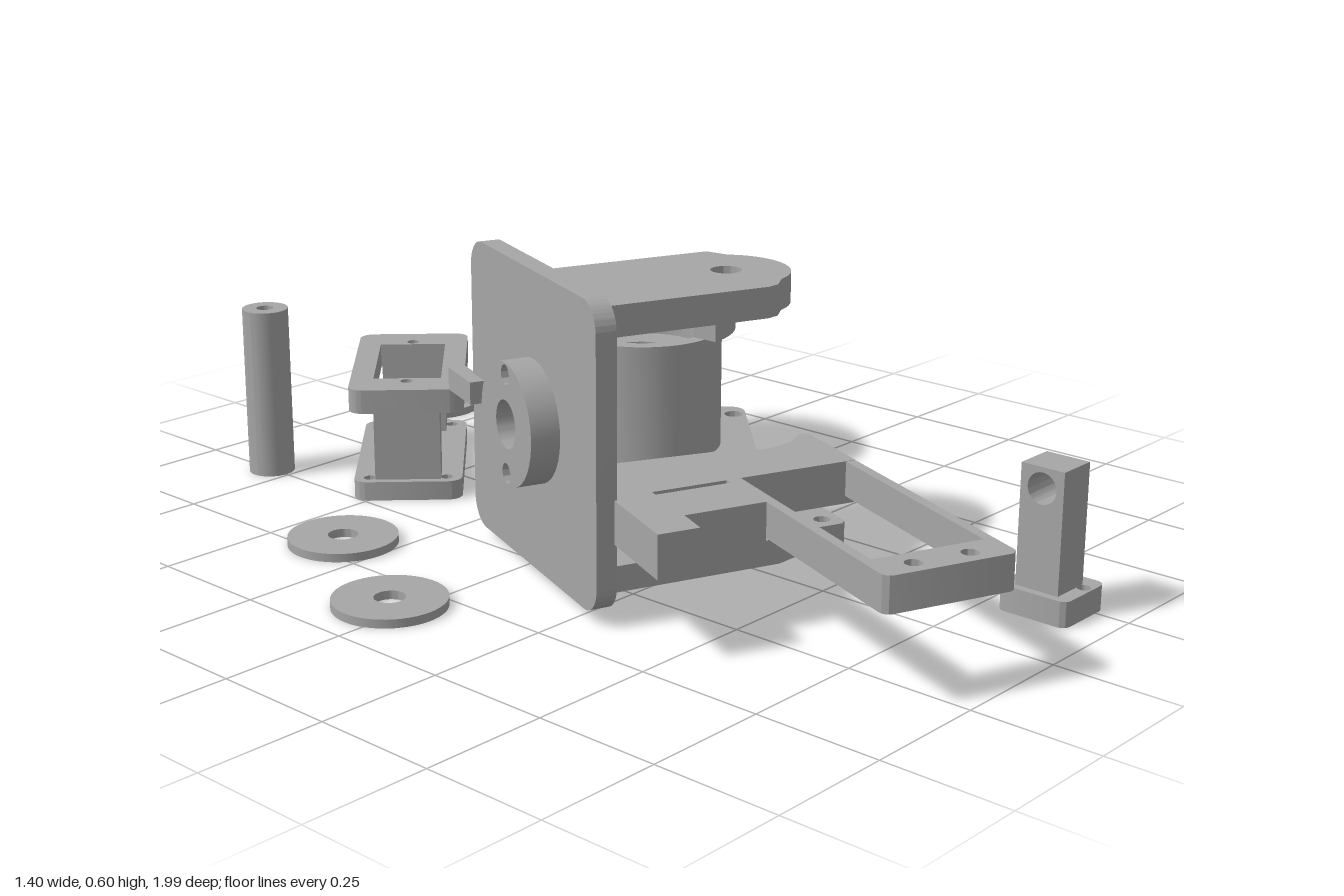
import * as THREE from 'three';
import { toCreasedNormals } from 'three/addons/utils/BufferGeometryUtils.js';

const gray = new THREE.MeshStandardMaterial({ color: 0xa6a6a6 });
gray.name = 'plain gray';

// Outlines
const poly = (pts) => new THREE.Shape(pts.map(([x, y]) => new THREE.Vector2(x, y)));
const disc = (r, x = 0, y = 0) => new THREE.Shape().absarc(x, y, r, 0, Math.PI * 2);
function rounded(x0, y0, x1, y1, r) {
  const s = new THREE.Shape();
  s.absarc(x1 - r, y1 - r, r, 0, Math.PI / 2);
  s.absarc(x0 + r, y1 - r, r, Math.PI / 2, Math.PI);
  s.absarc(x0 + r, y0 + r, r, Math.PI, Math.PI * 1.5);
  s.absarc(x1 - r, y0 + r, r, Math.PI * 1.5, Math.PI * 2);
  s.closePath();
  return s;
}
const rect = (x0, y0, x1, y1) => poly([[x0, y0], [x1, y0], [x1, y1], [x0, y1]]);

function extrude(shape, holes, depth) {
  shape.holes = holes;
  return new THREE.ExtrudeGeometry(shape, { depth, bevelEnabled: false, curveSegments: 24 });
}
function add(parent, name, geometry) {
  const mesh = new THREE.Mesh(toCreasedNormals(geometry, 0.6), gray);
  mesh.name = name;
  parent.add(mesh);
  return mesh;
}
// Horizontal slab: outline in (x, z), from y0 to y1
function slab(parent, name, shape, y0, y1, holes = []) {
  return add(parent, name, extrude(shape, holes, y1 - y0).rotateX(Math.PI / 2).translate(0, y1, 0));
}
// Upright slab: outline in (z, y), from x0 to x1
function wall(parent, name, shape, x0, x1, holes = []) {
  return add(parent, name, extrude(shape, holes, x1 - x0).rotateY(-Math.PI / 2).translate(x1, 0, 0));
}
function group(parent, name, x, z, turn = 0) {
  const g = new THREE.Group();
  g.name = name;
  g.position.set(x, 0, z);
  g.rotation.y = turn;
  parent.add(g);
  return g;
}

// Flat washers and the hollow pin
function buildLooseParts(root) {
  for (const [x, z] of [[0.304, -0.892], [0.585, -0.683], [-0.437, -0.352], [-0.593, -0.04]])
    slab(group(root, 'washer', x, z), 'washerDisc', disc(0.109), 0, 0.017, [disc(0.03)]);
  slab(group(root, 'pin', -0.249, -0.804), 'pinTube', disc(0.048), 0, 0.36, [disc(0.018)]);
}

// Upright peg with a cross hole on a small foot
function buildPeg(root) {
  const g = group(root, 'peg', 0.213, 0.858);
  slab(g, 'pegFoot', rounded(-0.067, -0.073, 0.067, 0.073, 0.018), 0, 0.05,
    [disc(0.013, 0.02, -0.056), disc(0.013, 0.02, 0.056)]);
  wall(g, 'pegColumn', rect(-0.045, 0.05, 0.045, 0.285), -0.05, 0.033, [disc(0.03, 0, 0.245)]);
}

// Open box: base plate, end posts and top frame
function buildHolder(root) {
  const g = group(root, 'holder', -0.035, -0.59, Math.PI / 4);
  const corners = [-1, 1].flatMap((i) => [-1, 1].map((j) => disc(0.013, i * 0.18, j * 0.08)));
  slab(g, 'holderBase', rounded(-0.21, -0.112, 0.21, 0.112, 0.03), 0, 0.04, corners);
  slab(g, 'holderFrame', rounded(-0.215, -0.118, 0.215, 0.118, 0.03), 0.19, 0.24,
    [rect(-0.13, -0.07, 0.13, 0.07), disc(0.013, -0.15, 0), disc(0.013, 0.15, 0)]);
  for (const s of [-1, 1])
    slab(g, 'holderPost', rect(s * 0.162 - 0.032, -0.068, s * 0.162 + 0.032, 0.068), 0.04, 0.19,
      [disc(0.013, s * 0.15, 0)]);
}

// Round socket with split collar on a square foot
function buildSocket(root) {
  const g = group(root, 'socket', 0.334, -0.257);
  const screws = [[0.021, -0.286], [0.286, 0.021], [-0.021, 0.286], [-0.286, -0.021]];
  const foot = slab(g, 'socketFoot', rounded(-0.244, -0.244, 0.244, 0.244, 0.035), 0, 0.045,
    [disc(0.14), ...screws.map(([x, z]) => {
      // mirrored pattern turned into the foot's own axes
      const c = Math.SQRT1_2;
      return disc(0.021, c * (x + z), c * (z - x));
    })]);
  foot.rotation.y = -Math.PI / 4;
  slab(g, 'socketTube', disc(0.171), 0.045, 0.305, [disc(0.14)]);
  slab(g, 'socketFloor', disc(0.141), 0.22, 0.25, [disc(0.069)]);
  const from = (171 / 180) * Math.PI, to = (448 / 180) * Math.PI;
  const collar = new THREE.Shape();
  collar.absarc(0, 0, 0.2, from, to, false);
  collar.absarc(0, 0, 0.143, to, from, true);
  collar.closePath();
  slab(g, 'socketCollar', collar, 0.305, 0.385);
}

// Wall bracket with arm, base and the long frame
function buildBracket(root) {
  const g = group(root, 'bracket', 0.061, 0.204, (-22 / 180) * Math.PI);
  const bores = () => [disc(0.046, 0.015, 0.315), disc(0.019, 0.015, 0.41), disc(0.019, 0.015, 0.22)];

  // Back plate, round boss and inner panel share three bores
  wall(g, 'backPlate', rounded(-0.288, 0.022, 0.288, 0.6, 0.055), -0.405, -0.365, bores());
  wall(g, 'backBoss', disc(0.118, 0.015, 0.315), -0.462, -0.405, bores());
  wall(g, 'innerPanel', rect(-0.15, 0.015, 0.15, 0.555), -0.365, -0.315, bores());
  wall(g, 'edgeTab', rect(-0.345, 0.28, -0.23, 0.325), -0.435, -0.4);
  wall(g, 'ear', rect(-0.21, 0.42, -0.15, 0.5), -0.365, -0.277, [disc(0.023, -0.183, 0.46)]);

  // Upper arm with a rounded nose
  const arm = new THREE.Shape();
  arm.moveTo(-0.32, -0.15);
  arm.lineTo(0.035, -0.15);
  arm.lineTo(0.06, -0.108);
  arm.absarc(0, 0, 0.123, -1.06, 1.06, false);
  arm.lineTo(0.035, 0.14);
  arm.lineTo(0.01, 0.15);
  arm.lineTo(-0.32, 0.15);
  arm.closePath();
  slab(g, 'upperArm', arm, 0.495, 0.555, [disc(0.03)]);

  // Base plate narrowing to a screw tab
  slab(g, 'basePlate', poly([[-0.365, -0.14], [0.02, -0.14], [0.1, -0.05], [0.2, -0.05],
    [0.212, -0.038], [0.212, 0.108], [0.2, 0.12], [0.1, 0.12], [0.05, 0.14], [-0.365, 0.14]]),
  0, 0.052, [disc(0.03), disc(0.017, 0.176, 0.083)]);

  // Side plate with a tooth, a slot and a curved clearance
  const plate = new THREE.Shape();
  plate.moveTo(-0.315, 0.1);
  plate.lineTo(-0.1, 0.12);
  plate.absarc(0, 0, 0.148, 2.2, 0.68, true);
  plate.lineTo(0.13, 0.1);
  plate.lineTo(0.13, 0.275);
  plate.lineTo(-0.112, 0.275);
  plate.lineTo(-0.13, 0.407);
  plate.lineTo(-0.292, 0.407);
  plate.lineTo(-0.295, 0.473);
  plate.lineTo(-0.376, 0.473);
  plate.lineTo(-0.365, 0.16);
  plate.lineTo(-0.315, 0.16);
  plate.closePath();
  slab(g, 'sidePlate', plate, 0.157, 0.24, [rect(-0.29, 0.275, -0.14, 0.29)]);

  // Long rectangular frame
  slab(g, 'longFrame', rounded(-0.13, 0.26, 0.13, 0.802, 0.018), 0.172, 0.2395,
    [rect(-0.11, 0.275, 0.11, 0.725), disc(0.016, -0.055, 0.767), disc(0.016, 0.055, 0.767)]);
}

export function createModel() {
  const root = new THREE.Group();
  root.name = 'bracketKit';
  buildLooseParts(root);
  buildPeg(root);
  buildHolder(root);
  buildSocket(root);
  buildBracket(root);
  return root;
}
